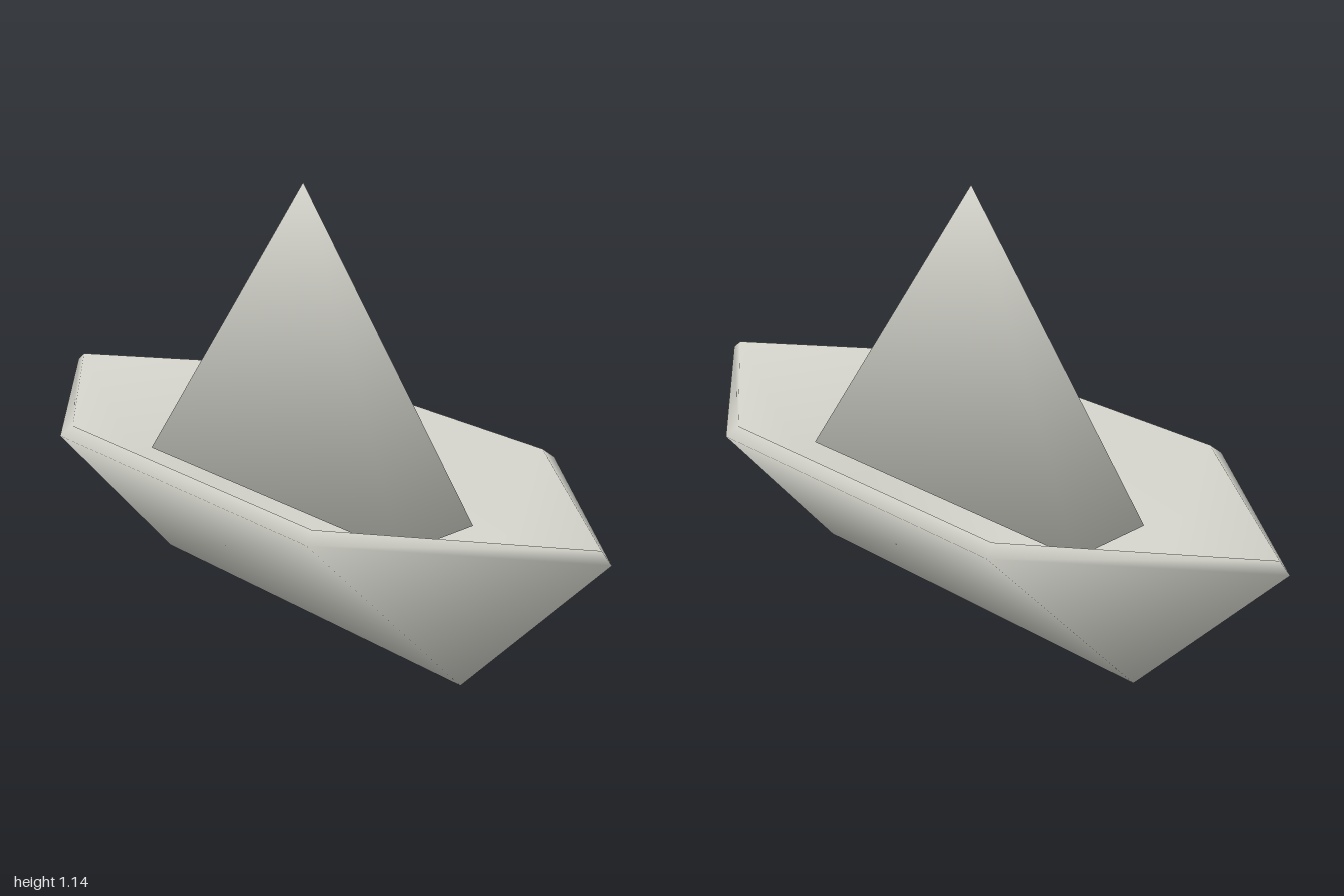
import * as THREE from 'three';

const paper = new THREE.MeshStandardMaterial({ color: 0xd6d6ce });
paper.name = 'paper';

// Shared-vertex mesh with smooth normals, each face weighted by its corner angle
function smoothMesh(name, points, faces) {
  const v = points.map((p) => new THREE.Vector3(...p));
  const normals = v.map(() => new THREE.Vector3());
  for (const face of faces) {
    face.forEach((index, k) => {
      const e1 = v[face[(k + 1) % 3]].clone().sub(v[index]);
      const e2 = v[face[(k + 2) % 3]].clone().sub(v[index]);
      const n = e1.clone().cross(e2).normalize();
      normals[index].addScaledVector(n, e1.angleTo(e2));
    });
  }
  const geometry = new THREE.BufferGeometry().setFromPoints(v);
  const flat = normals.flatMap((n) => n.normalize().toArray());
  geometry.setAttribute('normal', new THREE.Float32BufferAttribute(flat, 3));
  geometry.setIndex(faces.flat());
  const mesh = new THREE.Mesh(geometry, paper);
  mesh.name = name;
  return mesh;
}

// One skin of the hull: six rim points, then the two keel ends
function hullSkin(halfWidth, shoulderZ, bowZ, rimY, keelZ, keelY) {
  return [
    [0, rimY, bowZ], [halfWidth, rimY, shoulderZ], [halfWidth, rimY, -shoulderZ],
    [0, rimY, -bowZ], [-halfWidth, rimY, -shoulderZ], [-halfWidth, rimY, shoulderZ],
    [0, keelY, keelZ], [0, keelY, -keelZ],
  ];
}

function createHull() {
  const points = [
    ...hullSkin(0.42, 0.48, 1, 0.46, 0.57, 0),
    ...hullSkin(0.39, 0.465, 0.97, 0.485, 0.55, 0.045),
  ];
  // One side of the hull, repeated by a half turn
  const half = [[0, 6, 1], [1, 6, 2], [6, 7, 2], [2, 7, 3]];
  const halfTurn = (i) => (i < 6 ? (i + 3) % 6 : 13 - i);
  const outer = [...half, ...half.map((f) => f.map(halfTurn))];
  const inner = outer.map(([a, b, c]) => [a + 8, c + 8, b + 8]);
  // Narrow rim joining the two skins
  const rim = [];
  for (let i = 0; i < 6; i++) {
    const j = (i + 1) % 6;
    rim.push([i, j, j + 8], [i, j + 8, i + 8]);
  }
  return smoothMesh('hull', points, [...outer, ...inner, ...rim]);
}

// Tall, narrow pyramid standing inside the hull
function createSail() {
  const x = 0.125, z = 0.48, y = 0.355;
  const points = [[x, y, z], [x, y, -z], [-x, y, -z], [-x, y, z], [0, 1.145, 0]];
  const faces = [[2, 1, 0], [3, 2, 0]];
  for (let i = 0; i < 4; i++) faces.push([i, (i + 1) % 4, 4]);
  return smoothMesh('sail', points, faces);
}

export function createModel() {
  const boat = new THREE.Group();
  boat.name = 'paperBoat';
  boat.add(createHull(), createSail());
  return boat;
}
